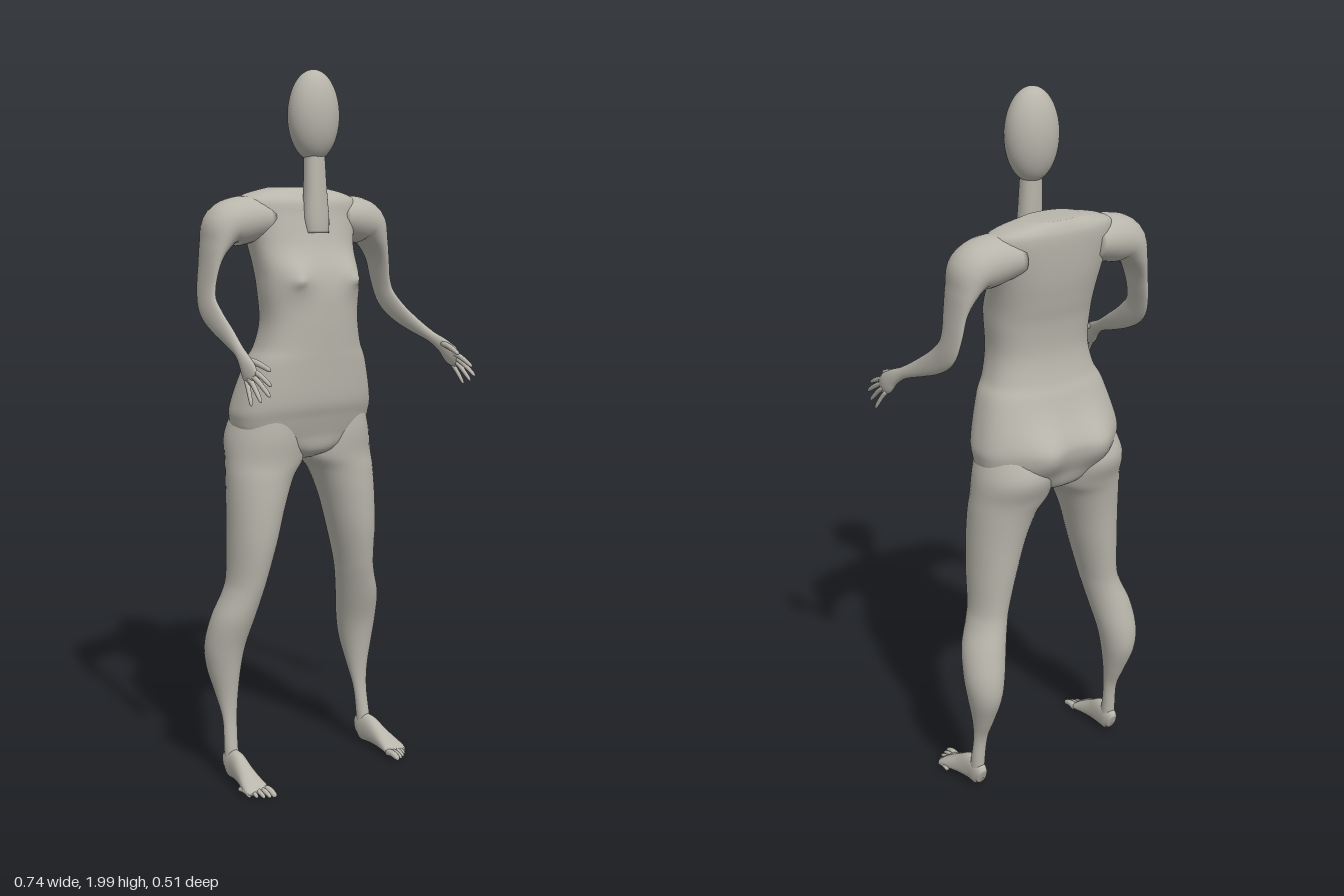
import * as THREE from 'three';

const clay = new THREE.MeshStandardMaterial({ color: 0xb8b5ab });
clay.name = 'clay grey';

// Smooth closed skin through rows of [x, y, z, halfU, halfV].
// The section's U axis starts at `up` and is carried along the path (or kept, if flat).
function loft(rows, up, { sides = 28, steps = 5, power = 2, flat = false } = {}) {
  const path = new THREE.CatmullRomCurve3(rows.map(r => new THREE.Vector3(r[0], r[1], r[2])), false, 'catmullrom');
  const size = new THREE.CatmullRomCurve3(rows.map(r => new THREE.Vector3(r[3], r[4], 0)), false, 'catmullrom');
  const count = (rows.length - 1) * steps;
  const axis = path.getPoint(1).sub(path.getPoint(0)).normalize();
  if (flat) axis.set(0, Math.sign(axis.y), 0);
  const u = up.clone(), v = new THREE.Vector3(), pos = [], index = [];
  const bend = c => Math.sign(c) * Math.pow(Math.abs(c), 2 / power);
  for (let i = 0; i <= count; i++) {
    const f = i / count, c = path.getPoint(f), s = size.getPoint(f);
    const t = flat ? axis : path.getTangent(f);
    u.addScaledVector(t, -u.dot(t)).normalize();
    v.crossVectors(t, u);
    for (let j = 0; j < sides; j++) {
      const a = j / sides * Math.PI * 2;
      const p = c.clone().addScaledVector(u, bend(Math.cos(a)) * s.x).addScaledVector(v, bend(Math.sin(a)) * s.y);
      pos.push(p.x, p.y, p.z);
    }
  }
  const first = (count + 1) * sides, last = count * sides;
  pos.push(...path.getPoint(0).toArray(), ...path.getPoint(1).toArray());
  for (let j = 0; j < sides; j++) {
    const k = (j + 1) % sides;
    for (let i = 0; i < count; i++) {
      const a = i * sides + j, b = i * sides + k;
      index.push(a, b, b + sides, a, b + sides, a + sides);
    }
    index.push(first, k, j, first + 1, last + j, last + k);
  }
  const g = new THREE.BufferGeometry();
  g.setAttribute('position', new THREE.Float32BufferAttribute(pos, 3));
  g.setIndex(index);
  g.computeVertexNormals();
  return g;
}

function mirrored(geometry) {
  const g = geometry.clone().scale(-1, 1, 1);
  const a = g.index.array;
  for (let i = 0; i < a.length; i += 3) [a[i], a[i + 1]] = [a[i + 1], a[i]];
  g.computeVertexNormals();
  return g;
}

const X = new THREE.Vector3(1, 0, 0), Y = new THREE.Vector3(0, 1, 0), Z = new THREE.Vector3(0, 0, 1);

// Row from edges: height, inner x, outer x, front z, back z
const slice = ([y, x0, x1, front, back]) =>
  [(x0 + x1) / 2, y, (front + back) / 2, (front - back) / 2, (x1 - x0) / 2];

// Tapered rounded digit from a to b
function digit(a, b, r, sag = 0) {
  const A = new THREE.Vector3(...a), B = new THREE.Vector3(...b);
  const at = (f, k) => {
    const p = A.clone().lerp(B, f);
    return [p.x, p.y + sag * Math.sin(f * Math.PI), p.z, r * k, r * k];
  };
  return loft([at(0, 1), at(0.4, 0.95), at(0.8, 0.8), at(0.95, 0.55), at(1, 0.1)], X, { sides: 10, steps: 3 });
}

function torsoGeometry() {
  // height, front z, back z, half width
  const rows = [
    [0.925, -0.06, -0.14, 0.03], [0.95, -0.01, -0.19, 0.10], [1.0, 0.005, -0.205, 0.2],
    [1.05, 0.02, -0.215, 0.222], [1.1, 0.034, -0.215, 0.217], [1.2, 0.04, -0.185, 0.188],
    [1.25, 0.042, -0.167, 0.163], [1.32, 0.044, -0.155, 0.148], [1.4, 0.042, -0.16, 0.152],
    [1.46, 0.03, -0.172, 0.155], [1.53, 0.0, -0.185, 0.165], [1.6, -0.02, -0.192, 0.185],
    [1.645, -0.03, -0.193, 0.19], [1.667, -0.05, -0.187, 0.16], [1.685, -0.07, -0.175, 0.08],
  ].map(([y, f, b, w]) => slice([y, -w, w, f, b]));
  const g = loft(rows, Z, { sides: 72, steps: 7, power: 2.4, flat: true });
  // Swell the chest and the seat
  const p = g.attributes.position;
  const swell = (x, y, cx, cy, r) => Math.exp(-((x - cx) ** 2 + (y - cy) ** 2) / (r * r));
  for (let i = 0; i < p.count; i++) {
    const x = Math.abs(p.getX(i)), y = p.getY(i), z = p.getZ(i);
    if (z > -0.05) p.setZ(i, z + 0.018 * swell(x, y, 0.095, 1.44, 0.045) + 0.01 * swell(x, y, 0.098, 1.43, 0.014));
    if (z < -0.1) {
      const s = p.getX(i);
      p.setZ(i, z - 0.041 * (swell(s, y, 0.085, 1.06, 0.07) + swell(s, y, -0.085, 1.06, 0.07)));
    }
  }
  g.computeVertexNormals();
  return g;
}

function limbParts() {
  const parts = {};
  // Leg: height, inner x, outer x, front z, back z
  parts.leg = loft([
    [1.08, 0.04, 0.2, 0.0, -0.2], [1.0, 0.012, 0.228, 0.005, -0.228], [0.93, 0.008, 0.237, 0.0, -0.206],
    [0.88, 0.045, 0.241, 0.0, -0.192], [0.8, 0.08, 0.243, 0.0, -0.18], [0.7, 0.11, 0.244, -0.005, -0.172],
    [0.6, 0.137, 0.246, -0.022, -0.165], [0.55, 0.148, 0.258, -0.033, -0.168], [0.48, 0.163, 0.286, -0.05, -0.184],
    [0.4, 0.18, 0.296, -0.075, -0.2], [0.33, 0.193, 0.288, -0.088, -0.197], [0.25, 0.207, 0.27, -0.097, -0.165],
    [0.18, 0.217, 0.26, -0.097, -0.135], [0.1, 0.222, 0.262, -0.085, -0.127], [0.04, 0.222, 0.262, -0.07, -0.126],
  ].map(slice), Z, { sides: 36, flat: true });

  // Foot: heel to ball
  parts.foot = loft([
    [0.242, 0.045, -0.127, 0.025, 0.014], [0.242, 0.052, -0.11, 0.04, 0.021], [0.243, 0.055, -0.075, 0.042, 0.023],
    [0.247, 0.042, -0.03, 0.03, 0.027], [0.251, 0.029, 0.01, 0.02, 0.034], [0.252, 0.021, 0.035, 0.013, 0.037],
    [0.252, 0.018, 0.048, 0.007, 0.031],
  ], Y, { power: 2.3 });
  const tips = [0.088, 0.084, 0.076, 0.063, 0.048];
  tips.forEach((z, i) => {
    const x = 0.224 + i * 0.0145;
    parts['toe' + (i + 1)] = digit([x, 0.018, z - 0.05], [x, 0.01, z], i ? 0.0075 : 0.0105, 0.006);
  });

  // Shoulder, arm and palm in one sweep
  parts.arm = loft([
    [0.12, 1.60, -0.11, 0.075, 0.055], [0.19, 1.595, -0.111, 0.076, 0.066], [0.245, 1.578, -0.112, 0.07, 0.06],
    [0.275, 1.53, -0.112, 0.06, 0.034], [0.293, 1.48, -0.111, 0.05, 0.018], [0.304, 1.42, -0.11, 0.044, 0.013],
    [0.311, 1.37, -0.094, 0.041, 0.012], [0.314, 1.33, -0.045, 0.034, 0.012], [0.32, 1.295, 0.02, 0.025, 0.012],
    [0.332, 1.263, 0.085, 0.017, 0.012], [0.342, 1.24, 0.125, 0.022, 0.013], [0.348, 1.215, 0.155, 0.03, 0.012],
    [0.35, 1.2, 0.18, 0.022, 0.007],
  ], Z);
  const fingers = [
    [[0.338, 1.245, 0.13], [0.323, 1.222, 0.215], 0.0085],
    [[0.346, 1.222, 0.165], [0.345, 1.188, 0.247], 0.0075],
    [[0.35, 1.21, 0.168], [0.352, 1.162, 0.252], 0.0075],
    [[0.353, 1.2, 0.163], [0.36, 1.145, 0.225], 0.007],
    [[0.353, 1.192, 0.15], [0.366, 1.133, 0.19], 0.0065],
  ];
  fingers.forEach(([a, b, r], i) => { parts[i ? 'finger' + i : 'thumb'] = digit(a, b, r, 0.004); });
  return parts;
}

export function createModel() {
  const model = new THREE.Group();
  model.name = 'figure';
  const add = (name, geometry, parent = model) => {
    const m = new THREE.Mesh(geometry, clay);
    m.name = name;
    parent.add(m);
    return m;
  };

  add('torso', torsoGeometry());

  // Egg-shaped head on a post-like neck
  const head = add('head', new THREE.SphereGeometry(1, 40, 28));
  head.scale.set(0.076, 0.123, 0.063);
  head.position.set(0, 1.877, -0.032);
  add('neck', loft([
    [0, 1.56, -0.02, 0.028, 0.037], [0, 1.6, -0.021, 0.029, 0.039],
    [0, 1.68, -0.025, 0.028, 0.034], [0, 1.79, -0.03, 0.025, 0.03],
  ], Z, { sides: 16, flat: true, power: 2.3 }));

  // Limbs on both sides
  const left = new THREE.Group(), right = new THREE.Group();
  left.name = 'leftLimbs';
  right.name = 'rightLimbs';
  model.add(left, right);
  for (const [name, g] of Object.entries(limbParts())) {
    add(name, g, left);
    add(name, mirrored(g), right);
  }
  return model;
}
